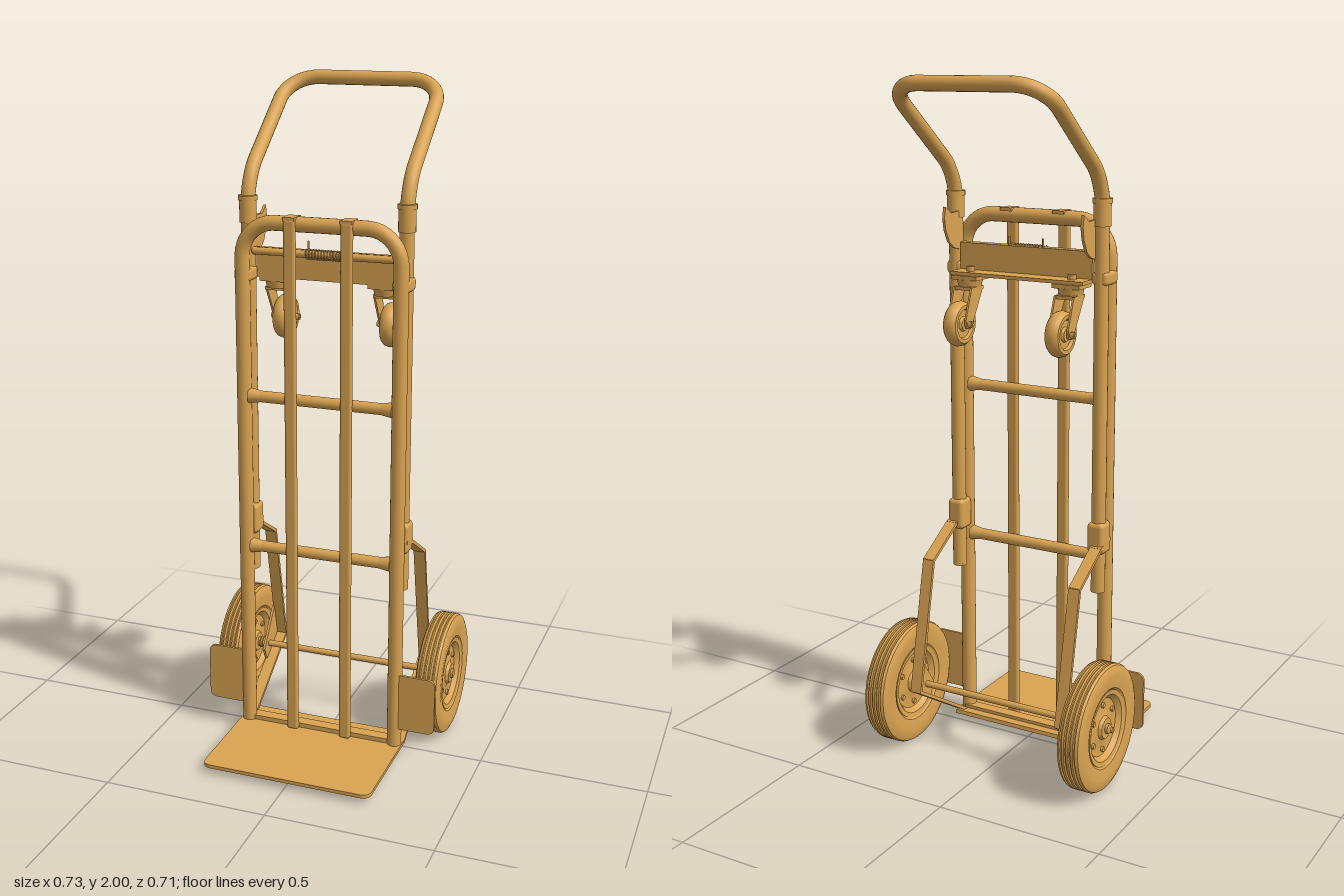
import * as THREE from 'three';
import { toCreasedNormals } from 'three/addons/utils/BufferGeometryUtils.js';
import { RoundedBoxGeometry } from 'three/addons/geometries/RoundedBoxGeometry.js';

const V = (x, y, z) => new THREE.Vector3(x, y, z);

export function createModel() {
  const root = new THREE.Group();
  root.name = 'handTruck';
  const paint = new THREE.MeshStandardMaterial({ color: 0xd9a351 });
  paint.name = 'tan paint';

  const add = (name, geo, x = 0, y = 0, z = 0) => {
    const m = new THREE.Mesh(geo, paint);
    m.name = name;
    m.position.set(x, y, z);
    root.add(m);
    return m;
  };
  const box = (name, w, h, d, x, y, z) => add(name, new THREE.BoxGeometry(w, h, d), x, y, z);
  const rod = (name, r, len, x, y, z, axis = 'x', sides = 20, r2 = r) => {
    const g = new THREE.CylinderGeometry(r2, r, len, sides);
    if (axis === 'x') g.rotateZ(-Math.PI / 2);
    if (axis === 'z') g.rotateX(Math.PI / 2);
    return add(name, g, x, y, z);
  };
  // Tube through points, each inner corner rounded by its own radius
  const bentTube = (name, pts, radii, r) => {
    const path = new THREE.CurvePath();
    let last = pts[0];
    for (let i = 1; i < pts.length - 1; i++) {
      const a = pts[i].clone().add(pts[i - 1].clone().sub(pts[i]).setLength(radii[i - 1]));
      const b = pts[i].clone().add(pts[i + 1].clone().sub(pts[i]).setLength(radii[i - 1]));
      path.add(new THREE.LineCurve3(last, a));
      const k = 0.55;
      path.add(new THREE.CubicBezierCurve3(a, a.clone().lerp(pts[i], k), b.clone().lerp(pts[i], k), b));
      last = b;
    }
    path.add(new THREE.LineCurve3(last, pts[pts.length - 1]));
    return add(name, new THREE.TubeGeometry(path, 220, r, 18, false));
  };
  // Outline in (z, y) given thickness along x
  const sidePlate = (name, pts, t, x) => {
    const s = new THREE.Shape(pts.map(p => new THREE.Vector2(p[0], p[1])));
    const g = new THREE.ExtrudeGeometry(s, { depth: t, bevelEnabled: false });
    g.translate(0, 0, -t / 2).rotateY(-Math.PI / 2);
    return add(name, g, x);
  };
  const roundRect = (w, h, r) => {
    const s = new THREE.Shape(), a = w / 2, b = h / 2;
    s.moveTo(-a + r, -b).lineTo(a - r, -b).quadraticCurveTo(a, -b, a, -b + r);
    s.lineTo(a, b - r).quadraticCurveTo(a, b, a - r, b);
    s.lineTo(-a + r, b).quadraticCurveTo(-a, b, -a, b - r);
    s.lineTo(-a, -b + r).quadraticCurveTo(-a, -b, -a + r, -b);
    return s;
  };
  // Solid of revolution about x from (radius, x) pairs
  const turned = (name, prof, x, y, z, seg = 48) => {
    const g = new THREE.LatheGeometry(prof.map(p => new THREE.Vector2(p[0], p[1])), seg);
    g.rotateZ(-Math.PI / 2);
    return add(name, toCreasedNormals(g, 0.6), x, y, z);
  };

  // Front frame
  const fz = 0.043;
  bentTube('frontFrame', [V(-0.238, 0.025, fz), V(-0.238, 1.605, fz), V(0.238, 1.605, fz), V(0.238, 0.025, fz)], [0.1, 0.1], 0.022);
  for (const y of [1.092, 0.62]) {
    rod('crossBar', 0.017, 0.44, 0, y, fz);
    for (const s of [-1, 1]) {
      rod('crossBarFlare', s > 0 ? 0.017 : 0.023, 0.035, s * 0.203, y, fz, 'x', 20, s > 0 ? 0.023 : 0.017);
    }
  }
  box('bottomBar', 0.48, 0.022, 0.035, 0, 0.036, 0.035);
  for (const s of [-1, 1]) {
    add('slat', new RoundedBoxGeometry(0.036, 1.59, 0.018, 3, 0.008), s * 0.085, 0.827, 0.062);
    box('slatTopTab', 0.036, 0.01, 0.05, s * 0.085, 1.622, 0.045);
  }

  // Toe plate
  const toe = new THREE.ExtrudeGeometry(roundRect(0.525, 0.355, 0.03), { depth: 0.011, bevelEnabled: false });
  toe.rotateX(-Math.PI / 2);
  add('toePlate', toe, 0, 0.022, 0.1775);
  sidePlate('toePlateHeel', [[-0.02, 0.03], [0.04, 0.022], [0.04, 0.034], [-0.018, 0.042]], 0.5, 0);

  // Rear sliding handle
  const hz = -0.004;
  bentTube('handle', [V(-0.238, 0.53, hz), V(-0.238, 1.72, hz), V(-0.238, 1.98, -0.334),
    V(0.238, 1.98, -0.334), V(0.238, 1.72, hz), V(0.238, 0.53, hz)], [0.075, 0.095, 0.095, 0.075], 0.021);

  // Upper caster bracket with latch bar and spring
  box('bracketFace', 0.43, 0.085, 0.012, 0, 1.482, -0.012);
  box('bracketShelf', 0.43, 0.01, 0.07, 0, 1.442, -0.041);
  rod('latchBar', 0.011, 0.44, 0, 1.515, 0.005);
  const coil = [];
  for (let i = 0; i <= 144; i++) {
    const a = i / 12 * Math.PI * 2;
    coil.push(V(-0.055 + 0.11 * i / 144, 1.515 + 0.014 * Math.cos(a), 0.005 + 0.014 * Math.sin(a)));
  }
  add('latchSpring', new THREE.TubeGeometry(new THREE.CatmullRomCurve3(coil), 200, 0.002, 5));
  for (const s of [-1, 1]) rod('springPin', 0.003, 0.06, s * 0.055, 1.52, -0.01, 'y', 8);

  const straps = [[0.02, 0.685], [-0.035, 0.668], [-0.165, 0.588], [-0.245, 0.195], [0.02, 0.03]];
  for (const s of [-1, 1]) {
    const x = s * 0.238;
    // Handle sleeves and clamps
    rod('handleEndCap', 0.021, 0.006, x, 0.531, hz, 'y');
    rod('handleSleeve', 0.025, 0.075, x, 1.632, hz, 'y');
    rod('handleCollar', 0.028, 0.014, x, 1.665, hz, 'y');
    add('upperClamp', new RoundedBoxGeometry(0.05, 0.04, 0.075, 3, 0.012), x, 1.45, 0.015);
    add('lowerClamp', new RoundedBoxGeometry(0.054, 0.095, 0.06, 3, 0.014), x, 0.695, -0.002);
    rod('frameFoot', 0.022, 0.006, x, 0.025, fz, 'y');
    // Curved latch ear
    sidePlate('latchEar', [[0.0, 1.5], [0.0, 1.615], [-0.06, 1.612], [-0.09, 1.632], [-0.096, 1.6],
      [-0.09, 1.565], [-0.072, 1.53], [-0.045, 1.51]], 0.008, s * 0.222);

    // Flat axle strap
    for (let i = 0; i < straps.length - 1; i++) {
      const [z0, y0] = straps[i], [z1, y1] = straps[i + 1];
      const m = box('axleStrap', 0.036, 0.01, Math.hypot(z1 - z0, y1 - y0) + 0.006, s * 0.246, (y0 + y1) / 2, (z0 + z1) / 2);
      m.rotation.x = -Math.atan2(y1 - y0, z1 - z0);
    }
    sidePlate('axleGusset', [[-0.238, 0.2], [-0.15, 0.142], [-0.13, 0.18], [-0.15, 0.21], [-0.215, 0.3]], 0.008, s * 0.262);

    // Wheel guard plate
    const guard = new THREE.ExtrudeGeometry(roundRect(0.125, 0.18, 0.025), { depth: 0.008, bevelEnabled: false });
    add('wheelGuard', guard, s * 0.304, 0.18, 0.049);

    // Main wheel: grooved tyre, dished rim and hub
    const wx = s * 0.325, wy = 0.188, wz = -0.17;
    const tyre = [[0.105, -0.022], [0.118, -0.034], [0.15, -0.038], [0.172, -0.037], [0.183, -0.032]];
    for (const gx of [-0.021, -0.007, 0.007, 0.021]) {
      tyre.push([0.187, gx - 0.003], [0.181, gx - 0.002], [0.181, gx + 0.002], [0.187, gx + 0.003]);
    }
    tyre.push([0.183, 0.032], [0.172, 0.037], [0.15, 0.038], [0.118, 0.034], [0.105, 0.022]);
    turned('tyre', tyre, wx, wy, wz, 64);
    turned('rim', [[0, -0.03], [0.03, -0.03], [0.035, -0.02], [0.055, -0.014], [0.085, -0.016], [0.098, -0.03], [0.112, -0.032],
      [0.112, 0.032], [0.098, 0.03], [0.085, 0.016], [0.055, 0.014], [0.035, 0.02], [0.03, 0.03], [0, 0.03]], wx, wy, wz);
    for (let i = 0; i < 6; i++) {
      const a = i / 6 * Math.PI * 2;
      rod('rimBolt', 0.008, 0.044, wx, wy + 0.068 * Math.cos(a), wz + 0.068 * Math.sin(a), 'x', 6);
    }
    rod('axleNut', 0.015, 0.012, s * 0.357, wy, wz, 'x', 6);
    for (let i = 0; i < 3; i++) rod('axleWasher', 0.02 - 0.002 * i, 0.006, s * (0.272 + i * 0.009), wy, wz);

    // Swivel caster
    const cx = s * 0.165, cy = 1.303, cz = -0.107;
    box('casterPlate', 0.085, 0.012, 0.075, cx, 1.431, -0.045);
    rod('casterBolt', 0.012, 0.016, cx, 1.453, -0.043, 'y', 6);
    rod('casterSwivel', 0.033, 0.022, cx, 1.414, -0.048, 'y', 24, 0.038);
    box('forkCrown', 0.064, 0.01, 0.06, cx, 1.401, -0.056);
    for (const t of [-1, 1]) {
      sidePlate('casterFork', [[-0.025, 1.405], [-0.09, 1.405], [-0.122, 1.318], [-0.12, 1.294], [-0.1, 1.288], [-0.088, 1.3]],
        0.006, cx + t * 0.029);
      rod('casterNut', 0.01, 0.012, cx + t * 0.038, cy, cz, 'x', 6);
    }
    turned('casterWheel', [[0, -0.02], [0.018, -0.02], [0.022, -0.012], [0.04, -0.012], [0.044, -0.021], [0.055, -0.021],
      [0.062, -0.014], [0.066, 0], [0.062, 0.014], [0.055, 0.021], [0.044, 0.021], [0.04, 0.012], [0.022, 0.012],
      [0.018, 0.02], [0, 0.02]], cx, cy, cz, 36);
    rod('casterAxle', 0.005, 0.092, cx, cy, cz, 'x', 12);
  }

  // Main axle
  rod('axle', 0.01, 0.7, 0, 0.188, -0.17);
  return root;
}
